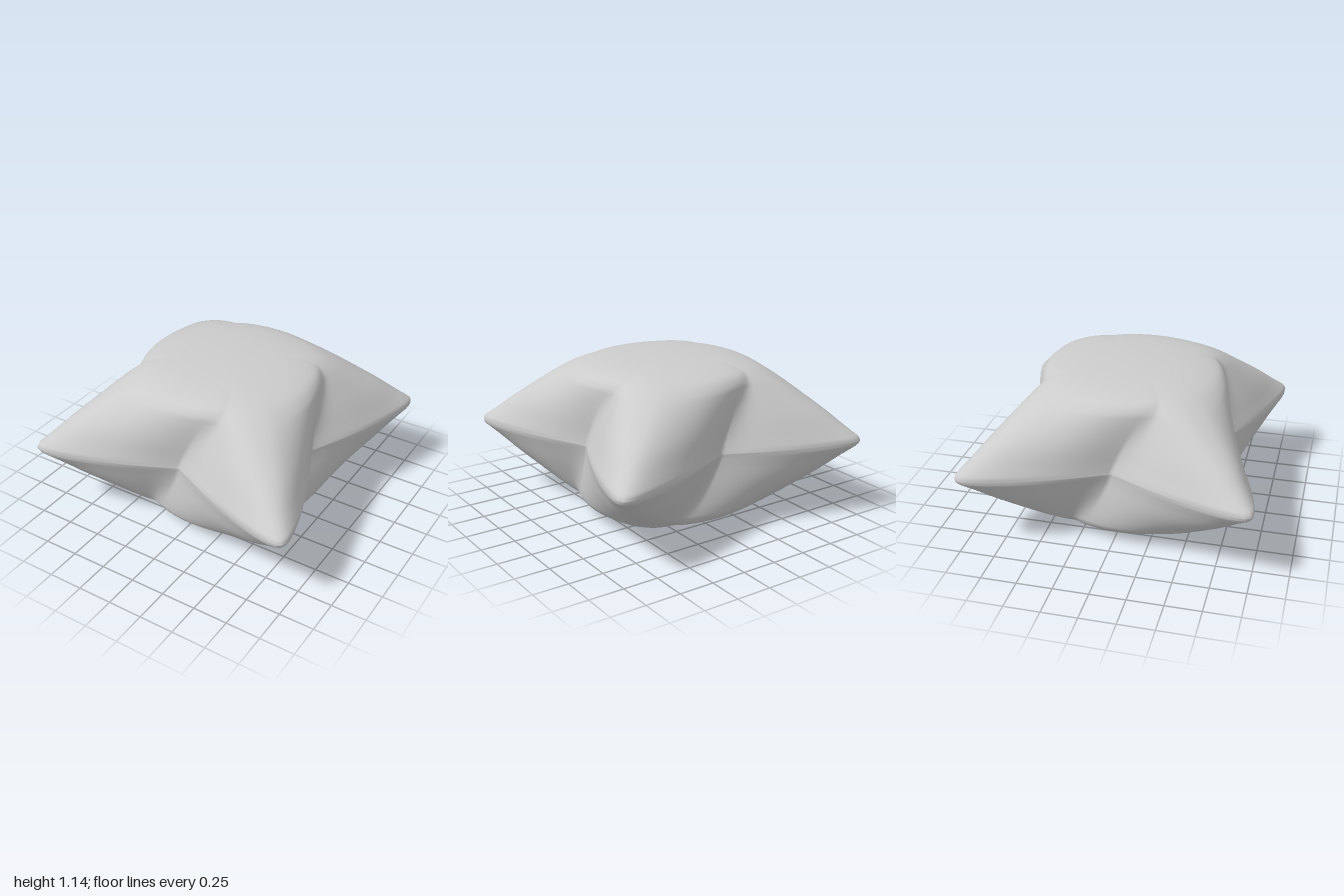
import * as THREE from 'three';

// Half profile from the crown down to the seam: [corner radius, height above seam, mid-side radius]
const PROFILE = [
  [0, 0.572, 0], [0.2, 0.566, 0.2], [0.4, 0.553, 0.39], [0.55, 0.53, 0.53], [0.655, 0.5, 0.61],
  [0.76, 0.45, 0.645], [0.845, 0.4, 0.65], [1.0, 0.3, 0.65], [1.15, 0.2, 0.65],
  [1.285, 0.1, 0.652], [1.35, 0.055, 0.655], [1.39, 0.025, 0.658], [1.402, 0, 0.662],
];
const ROWS = 60;   // rows per half
const COLS = 240;  // columns around

// Radius of a four-pointed outline; theta = 0 is the middle of a side
function outline(theta, corner, mid, h) {
  const quarter = Math.PI / 4;
  const wrapped = theta - Math.round(theta / (Math.PI / 2)) * (Math.PI / 2);
  let u = Math.abs(wrapped) / quarter;
  const soft = Math.min(1, 0.25 + h * 1.6);
  u = THREE.MathUtils.lerp(u, u * u * (3 - 2 * u), soft);
  u = 1 - (Math.hypot(1 - u, 0.04) - 0.04); // round the tip
  const a = u * quarter;
  const straight = Math.sin(quarter) / (Math.sin(quarter - a) / mid + Math.sin(a) / corner);
  return straight * (1 + 0.055 * Math.sin(Math.PI * u));
}

function pillowGeometry() {
  const curve = new THREE.CatmullRomCurve3(PROFILE.map((p) => new THREE.Vector3(...p)));
  const positions = [];
  const index = [];
  for (let i = 0; i <= 2 * ROWS; i++) {
    const side = i <= ROWS ? 1 : -1;
    const p = curve.getPoint(1 - Math.abs(i - ROWS) / ROWS);
    const h = Math.max(0, p.y);
    // the side folds lean one way above the seam and the other way below it
    const lean = side * 0.9 * Math.pow(h, 1.25);
    for (let j = 0; j < COLS; j++) {
      const theta = (j / COLS) * Math.PI * 2;
      const r = p.x < 1e-5 ? 0 : outline(theta, p.x, p.z, h);
      // full lean at the folds, almost none at the corners
      const fold = Math.pow(Math.abs(Math.cos(2 * theta)), 3);
      const phi = theta - lean * (0.08 + 0.92 * fold);
      positions.push(r * Math.cos(phi), 0.574 + side * h, r * Math.sin(phi));
      if (i === 2 * ROWS) continue;
      const k = (j + 1) % COLS;
      const a = i * COLS + j, b = a + COLS, c = i * COLS + k, d = c + COLS;
      index.push(a, c, b, c, d, b);
    }
  }
  const geometry = new THREE.BufferGeometry();
  geometry.setAttribute('position', new THREE.Float32BufferAttribute(positions, 3));
  geometry.setIndex(index);
  geometry.computeVertexNormals();
  return geometry;
}

export function createModel() {
  const group = new THREE.Group();
  group.name = 'pillow';
  const cushion = new THREE.Mesh(
    pillowGeometry(),
    new THREE.MeshStandardMaterial({ color: 0xcccccc, side: THREE.DoubleSide }),
  );
  cushion.name = 'cushion';
  group.add(cushion);
  return group;
}
